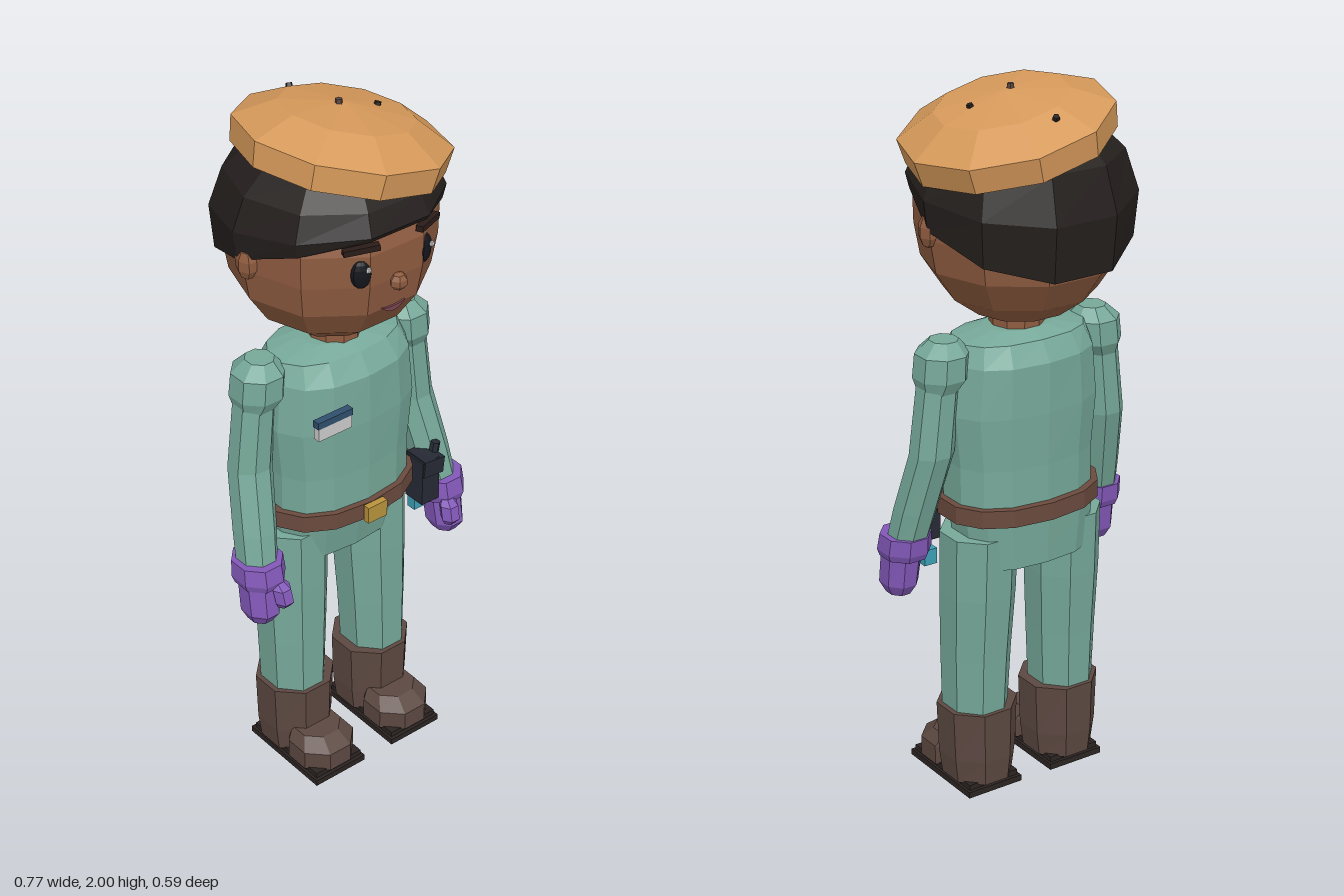
import * as THREE from 'three';

const mat = (color) => new THREE.MeshStandardMaterial({ color, flatShading: true, side: THREE.DoubleSide });
const M = {
  cloth: mat(0x76a899), skin: mat(0x8f5c40), hair: mat(0x241f1d), hat: mat(0xd6995a),
  glove: mat(0x8258b8), boot: mat(0x5c4841), sole: mat(0x2b2422), belt: mat(0x6a4a3e),
  gold: mat(0xb8923c), dark: mat(0x262a34), eye: mat(0x15161c), white: mat(0xcccccc),
  blue: mat(0x2f4f6c), lip: mat(0x7c4450), cyan: mat(0x3c9fb4), brow: mat(0x2a1c18),
};

// Faceted solid through horizontal rings, listed bottom to top: [x, y, z, rx, rz]
function loft(rings, sides, { phase = 0, power = 2, slope = [] } = {}) {
  const point = (i, k) => {
    const [x, y, z, rx, rz = rx] = rings[i];
    const a = phase + (k / sides) * Math.PI * 2;
    const bend = (v) => Math.sign(v) * Math.abs(v) ** (2 / power);
    const dz = rz * bend(Math.sin(a));
    return [x + rx * bend(Math.cos(a)), y + (slope[i] || 0) * dz, z + dz];
  };
  const pos = [];
  const last = rings.length - 1;
  for (let k = 0; k < sides; k++) {
    for (let i = 0; i < last; i++) {
      const b0 = point(i, k), b1 = point(i, k + 1), t0 = point(i + 1, k), t1 = point(i + 1, k + 1);
      pos.push(...b0, ...t0, ...b1, ...b1, ...t0, ...t1);
    }
    pos.push(...rings[0].slice(0, 3), ...point(0, k), ...point(0, k + 1));
    pos.push(...rings[last].slice(0, 3), ...point(last, k + 1), ...point(last, k));
  }
  const g = new THREE.BufferGeometry();
  g.setAttribute('position', new THREE.Float32BufferAttribute(pos, 3));
  g.computeVertexNormals();
  return g;
}

export function createModel() {
  const model = new THREE.Group();
  const E = Math.PI / 8;

  const add = (name, geometry, material, p = [0, 0, 0], r = [0, 0, 0], parent = model) => {
    const m = new THREE.Mesh(geometry, material);
    m.name = name;
    m.position.set(...p);
    m.rotation.set(...r);
    parent.add(m);
    return m;
  };
  const box = (...s) => new THREE.BoxGeometry(...s);
  const ball = (rx, ry, rz, w = 8, h = 6) => new THREE.SphereGeometry(1, w, h).scale(rx, ry, rz);

  // Torso and hips
  add('torso', loft([
    [0, 0.83, 0.015, 0.215, 0.15], [0, 0.98, 0.015, 0.215, 0.15], [0, 1.13, 0.015, 0.23, 0.155],
    [0, 1.27, 0.013, 0.215, 0.152], [0, 1.325, 0.01, 0.195, 0.115], [0, 1.345, 0.01, 0.1, 0.07],
  ], 14, { power: 2.4, phase: Math.PI / 14 }), M.cloth);
  add('hips', loft([[0, 0.69, -0.01, 0.19, 0.122], [0, 0.84, 0, 0.21, 0.14]],
    14, { power: 2.6, phase: Math.PI / 14 }), M.cloth);

  // Belt, buckle and chest badge
  add('belt', loft([[0, 0.825, 0.013, 0.235, 0.17], [0, 0.875, 0.013, 0.235, 0.17]],
    14, { power: 2.3, phase: Math.PI / 14 }), M.belt);
  add('buckle', box(0.065, 0.05, 0.02), M.gold, [0, 0.852, 0.195]);
  add('badge', box(0.11, 0.04, 0.02), M.white, [-0.135, 1.177, 0.18]);
  add('badgeStripe', box(0.115, 0.02, 0.022), M.blue, [-0.135, 1.205, 0.18]);

  // Radio pouch on the hip
  const pouch = new THREE.Group();
  pouch.name = 'pouch';
  pouch.position.set(0.24, 0.81, 0.11);
  model.add(pouch);
  add('pouchBody', box(0.06, 0.14, 0.07), M.dark, [0, 0, 0], [0, 0, 0], pouch);
  add('pouchFlap', box(0.07, 0.05, 0.08), M.dark, [0.008, 0.045, 0], [0, 0, -0.1], pouch);
  add('pouchAerial', new THREE.CylinderGeometry(0.014, 0.014, 0.05, 6), M.dark, [0.04, 0.07, 0], [0, 0, -0.2], pouch);
  add('tag', box(0.04, 0.045, 0.03), M.cyan, [0.255, 0.7, 0.07]);

  // Paired limbs
  for (const s of [1, -1]) {
    const side = s > 0 ? 'left' : 'right';
    const limb = (name, rings, material, n = 8, opt = { phase: E }) =>
      add(side + name, loft(rings.map(([x, ...rest]) => [s * x, ...rest]), n, opt), material);

    limb('Leg', [
      [0.145, 0.22, 0.012, 0.09, 0.1], [0.143, 0.41, 0.008, 0.098, 0.104],
      [0.14, 0.6, 0, 0.106, 0.11], [0.138, 0.78, -0.005, 0.108, 0.112],
    ], M.cloth);
    limb('BootShaft', [
      [0.138, 0.028, 0.012, 0.098, 0.105], [0.138, 0.1, 0.012, 0.108, 0.112], [0.138, 0.25, 0.012, 0.114, 0.114],
    ], M.boot);
    limb('BootToe', [
      [0.138, 0.028, 0.13, 0.095, 0.095], [0.138, 0.085, 0.13, 0.095, 0.095], [0.138, 0.118, 0.11, 0.07, 0.07],
    ], M.boot);
    add(side + 'Sole', box(0.175, 0.018, 0.3), M.sole, [s * 0.138, 0.009, 0.07]);
    add(side + 'Welt', box(0.16, 0.016, 0.28), M.sole, [s * 0.138, 0.026, 0.07]);

    limb('Shoulder', [
      [0.258, 1.21, 0.005, 0.055, 0.06], [0.248, 1.245, 0.005, 0.076, 0.078],
      [0.243, 1.31, 0.005, 0.074, 0.076], [0.238, 1.345, 0.005, 0.04, 0.042],
    ], M.cloth);
    limb('Sleeve', [
      [0.315, 0.76, 0.08, 0.056, 0.06], [0.302, 0.86, 0.055, 0.06, 0.062], [0.278, 1.03, 0.008, 0.062, 0.06],
      [0.255, 1.25, 0.004, 0.058, 0.058],
    ], M.cloth);
    limb('GloveCuff', [
      [0.318, 0.715, 0.092, 0.066, 0.072], [0.318, 0.735, 0.09, 0.073, 0.08], [0.317, 0.782, 0.083, 0.07, 0.076],
    ], M.glove);
    limb('Hand', [
      [0.328, 0.6, 0.107, 0.034, 0.04], [0.327, 0.632, 0.107, 0.052, 0.062], [0.323, 0.73, 0.095, 0.056, 0.06],
    ], M.glove);
    limb('Thumb', [
      [0.294, 0.655, 0.165, 0.016], [0.294, 0.675, 0.17, 0.028], [0.296, 0.715, 0.16, 0.028], [0.3, 0.738, 0.14, 0.014],
    ], M.glove, 6, { phase: 0 });

    // Face features in pairs
    add(side + 'Eye', ball(0.028, 0.041, 0.016, 10, 8), M.eye, [s * 0.103, 1.66, 0.25], [0, s * 0.4, 0]);
    add(side + 'EyeGlint', ball(0.008, 0.009, 0.006, 6, 4), M.white, [s * 0.103 + 0.01, 1.675, 0.267]);
    add(side + 'Brow', box(0.095, 0.016, 0.02), M.brow, [s * 0.108, 1.735, 0.255], [0, s * 0.4, -s * 0.06]);
    add(side + 'Ear', ball(0.025, 0.045, 0.035, 6, 5), M.skin, [s * 0.278, 1.645, 0.01]);
  }

  // Neck and head
  add('neck', loft([[0, 1.31, 0.015, 0.075], [0, 1.43, 0.015, 0.075]], 10), M.skin);
  add('head', loft([
    [0, 1.39, 0, 0.13], [0, 1.445, 0, 0.205], [0, 1.53, 0, 0.262], [0, 1.62, 0, 0.278],
    [0, 1.71, 0, 0.28], [0, 1.8, 0, 0.25], [0, 1.84, 0, 0.15],
  ], 10), M.skin);
  add('nose', ball(0.026, 0.024, 0.024, 6, 5), M.skin, [0, 1.612, 0.273]);
  const smile = new THREE.Shape();
  smile.moveTo(-0.038, 0.01);
  smile.quadraticCurveTo(0, 0, 0.038, 0.01);
  smile.quadraticCurveTo(0, -0.028, -0.038, 0.01);
  add('mouth', new THREE.ExtrudeGeometry(smile, { depth: 0.02, bevelEnabled: false, curveSegments: 5 }),
    M.lip, [0, 1.525, 0.235]);

  // Hair cap with a hemline dropping toward the back
  add('hair', loft([
    [0, 1.652, -0.008, 0.292], [0, 1.735, -0.01, 0.303], [0, 1.825, -0.005, 0.27],
    [0, 1.88, 0, 0.215], [0, 1.905, 0, 0.13],
  ], 10, { slope: [0.37, 0.12, 0, 0, 0] }), M.hair);

  // Tilted beret with small nubs
  const beret = new THREE.Group();
  beret.name = 'beret';
  beret.position.set(0.03, 1.835, -0.004);
  beret.rotation.z = -0.232;
  model.add(beret);
  add('beretCrown', loft([
    [0, 0, 0, 0.278], [0, 0.07, 0, 0.287], [0, 0.128, 0, 0.18], [-0.01, 0.15, 0, 0.01],
  ], 10), M.hat, [0, 0, 0], [0, 0, 0], beret);
  const nub = new THREE.CylinderGeometry(0.009, 0.011, 0.02, 5);
  add('beretStem', nub, M.boot, [-0.034, 0.15, 0], [0, 0, 0.23], beret);
  add('backNub', nub, M.hair, [-0.025, 0.113, -0.2], [-0.5, 0, 0], beret);
  add('sideNub', nub, M.hair, [0.085, 0.137, 0.015], [0, 0, -0.1], beret);

  return model;
}
